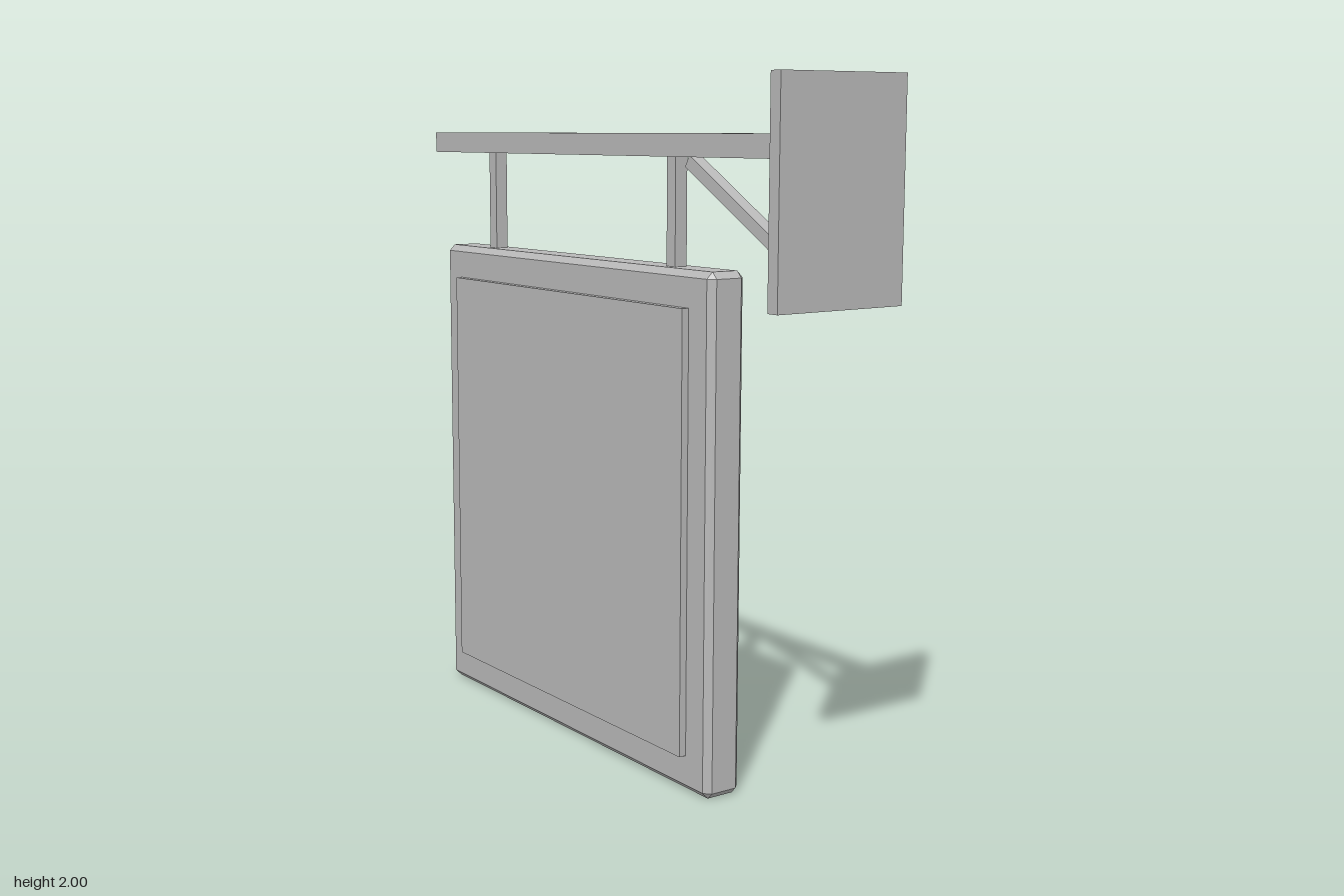
import * as THREE from 'three';
import { ConvexGeometry } from 'three/addons/geometries/ConvexGeometry.js';

// Box with every edge and corner cut flat by c
function chamferBox(w, h, d, c) {
  const points = [];
  for (const sx of [-1, 1]) for (const sy of [-1, 1]) for (const sz of [-1, 1]) {
    const [x, y, z] = [w / 2, h / 2, d / 2];
    points.push(
      new THREE.Vector3(sx * x, sy * (y - c), sz * (z - c)),
      new THREE.Vector3(sx * (x - c), sy * y, sz * (z - c)),
      new THREE.Vector3(sx * (x - c), sy * (y - c), sz * z));
  }
  return new ConvexGeometry(points);
}

export function createModel() {
  const group = new THREE.Group();
  const grey = new THREE.MeshStandardMaterial({ color: 0xb8b8b8 });
  grey.name = 'plainGrey';

  function add(name, geometry, y, z) {
    const mesh = new THREE.Mesh(geometry, grey);
    mesh.name = name;
    mesh.position.set(0, y, z);
    group.add(mesh);
    return mesh;
  }
  const box = (w, h, d) => new THREE.BoxGeometry(w, h, d);

  // Wall mount and the arm reaching back from it
  add('wallPlate', box(0.41, 0.584, 0.038), 1.708, 0.981);
  add('arm', box(0.07, 0.064, 1.962), 1.818, -0.019);

  // Diagonal brace from the plate to the arm
  const low = new THREE.Vector2(0.955, 1.447);
  const high = new THREE.Vector2(0.385, 1.775);
  const brace = add('brace', box(0.04, 0.036, low.distanceTo(high)),
    (low.y + high.y) / 2, (low.x + high.x) / 2);
  brace.rotation.x = Math.atan2(high.y - low.y, low.x - high.x);

  // Hangers between the arm and the sign
  for (const [name, z] of [['frontHanger', 0.312], ['rearHanger', -0.655]]) {
    add(name, box(0.04, 0.31, 0.04), 1.635, z);
  }

  // Sign board with a raised panel on both sides
  add('signBoard', chamferBox(0.122, 1.483, 1.44, 0.019), 0.7415, -0.17);
  for (const side of [-1, 1]) {
    const panel = add(side > 0 ? 'leftPanel' : 'rightPanel', box(0.03, 1.274, 1.242), 0.743, -0.17);
    panel.position.x = side * 0.068;
  }
  return group;
}
